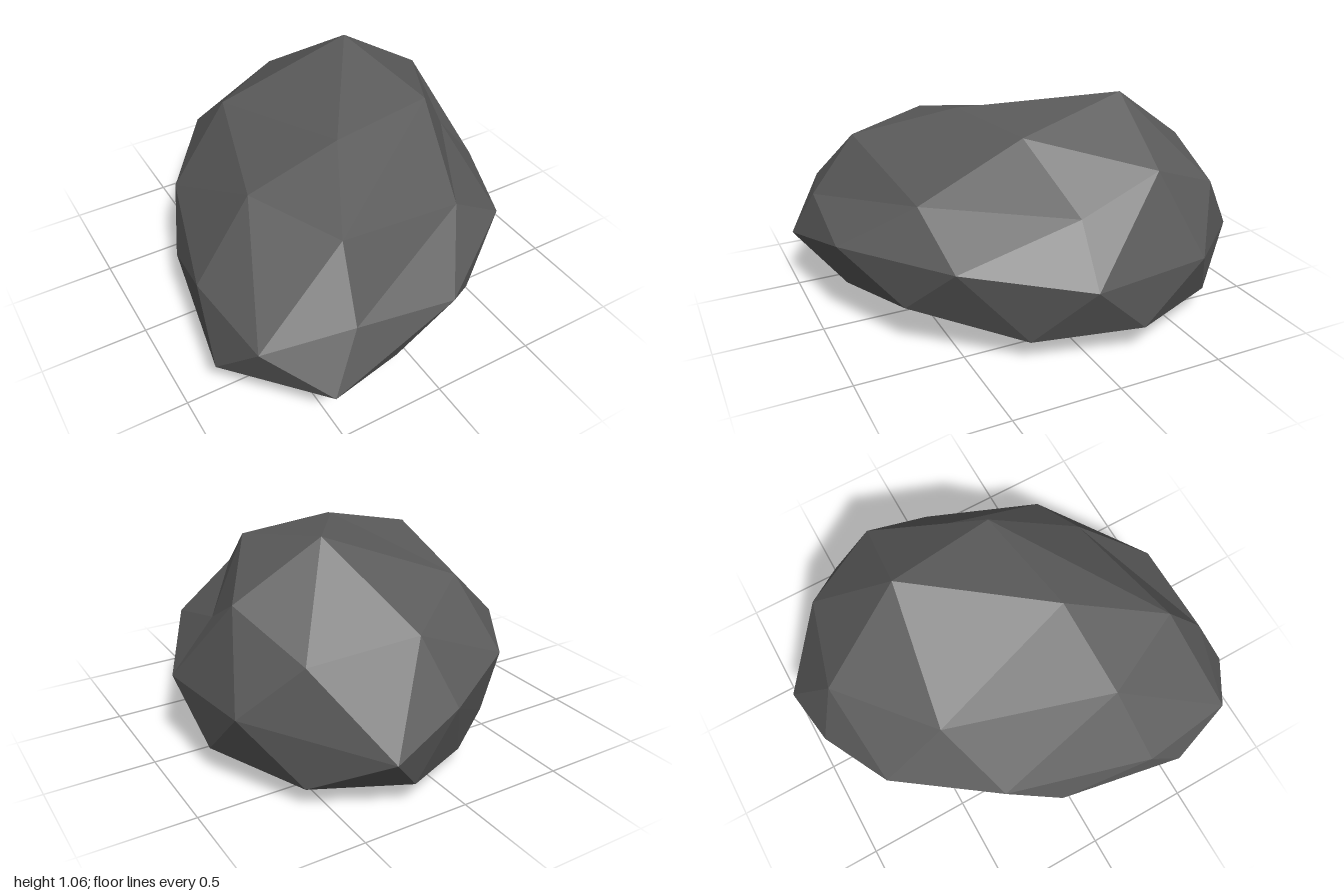
import * as THREE from 'three';

// Cross-sections of the boulder, each running round from back-right to front and on to the back-left
const crown = [-0.10, 0.95, 0.27];
const upperFive = [
  [0.32, 1.06, -0.36], [0.43, 0.95, 0.18], [-0.34, 0.81, 0.71], [-0.55, 0.84, 0.29], [-0.31, 0.81, -0.47],
];
const shoulder = [
  [0.59, 0.66, -0.70], [0.72, 0.82, -0.32], [0.67, 0.64, 0.02], [0.31, 0.67, 0.62], [-0.39, 0.52, 0.91],
  [-0.78, 0.47, 0.80], [-0.84, 0.51, 0.35], [-0.65, 0.52, -0.33], [-0.33, 0.54, -0.78], [0.13, 0.74, -0.82],
];
const waist = [
  [0.82, 0.41, -0.52], [0.87, 0.39, 0.04], [0.61, 0.47, 0.57], [0.09, 0.45, 0.93], [-0.54, 0.27, 1.00],
  [-0.87, 0.21, 0.55], [-0.77, 0.32, -0.08], [-0.31, 0.23, -0.70], [0.02, 0.44, -0.95], [0.35, 0.30, -1.00],
];
const skirt = [
  [0.60, 0.11, -0.70], [0.82, 0.135, -0.23], [0.68, 0.11, 0.26], [0.35, 0.22, 0.71], [-0.13, 0.145, 0.84],
  [-0.57, 0.08, 0.73], [-0.63, 0.045, 0.26], [-0.46, 0.06, -0.33], [-0.17, 0.08, -0.73], [0.19, 0.11, -0.90],
];
const lowerFive = [
  [0.57, 0.02, -0.18], [0.26, 0.03, 0.38], [-0.26, 0.03, 0.41], [-0.19, 0, -0.31], [0.23, 0.02, -0.59],
];
const base = [0.12, 0.01, -0.03];

function boulderGeometry() {
  const positions = [];
  const face = (...corners) => corners.forEach((p) => positions.push(...p));
  const at = (ring, i) => ring[(i + ring.length) % ring.length];

  // Side bands: shoulder to waist to skirt
  for (let k = 0; k < 10; k++) {
    const w = at(waist, k), wNext = at(waist, k + 1);
    const s = at(shoulder, k), sNext = at(shoulder, k + 1);
    const b = at(skirt, k), bNext = at(skirt, k + 1);
    face(sNext, w, s);
    face(sNext, wNext, w);
    face(w, wNext, bNext);
    face(w, bNext, b);
  }

  // Cap and underside: ten points close to five, then to one
  for (let j = 0; j < 5; j++) {
    const t = at(upperFive, j), tNext = at(upperFive, j + 1);
    const s = at(shoulder, 2 * j), sNext = at(shoulder, 2 * j + 1);
    face(t, sNext, s);
    face(t, s, at(shoulder, 2 * j - 1));
    face(t, tNext, sNext);
    face(crown, tNext, t);

    const l = at(lowerFive, j), lNext = at(lowerFive, j + 1);
    const corner = at(skirt, 2 * j + 1), next = at(skirt, 2 * j + 2);
    face(corner, next, l);
    face(at(skirt, 2 * j), corner, l);
    face(next, lNext, l);
    face(l, lNext, base);
  }

  const geometry = new THREE.BufferGeometry();
  geometry.setAttribute('position', new THREE.Float32BufferAttribute(positions, 3));
  geometry.computeVertexNormals(); // unshared corners give flat facets
  return geometry;
}

export function createModel() {
  const stone = new THREE.MeshStandardMaterial({ color: 0x5c5c5c });
  stone.name = 'dark grey stone';
  stone.flatShading = true;

  const boulder = new THREE.Mesh(boulderGeometry(), stone);
  boulder.name = 'boulder';

  const model = new THREE.Group();
  model.name = 'rock';
  model.add(boulder);
  return model;
}
